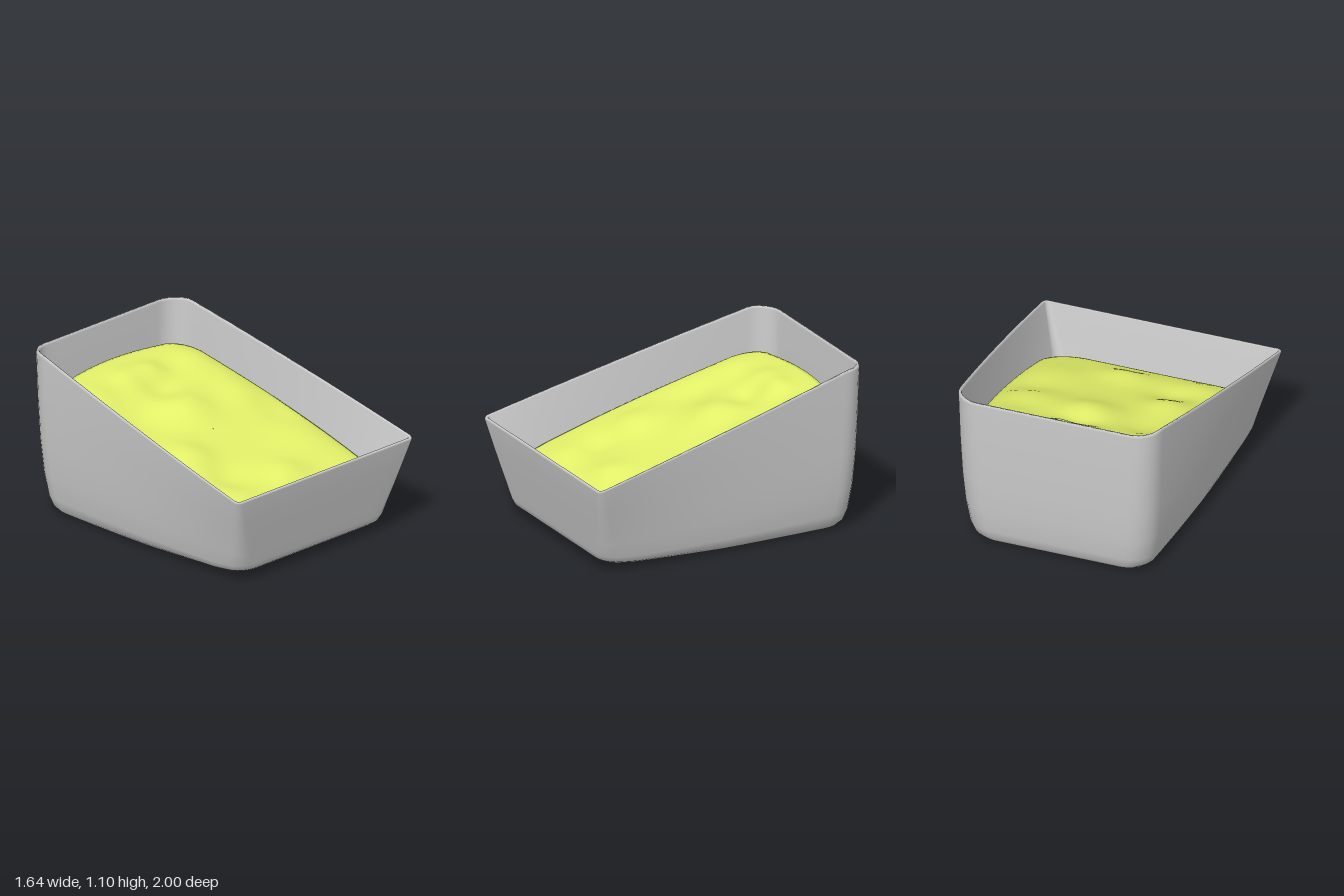
import * as THREE from 'three';

const lerp = THREE.MathUtils.lerp;

// Tapered rounded rectangle in the xz plane: half widths xf (front) / xb (back),
// ends zf / zb, corner radii rf / rb, side and back bulge.
function outline({ xf, xb, zf, zb, rf, rb, bow = 0, bowBack = 0 }, arc = 6, side = 12) {
  const corners = [[1, 1], [-1, 1], [-1, -1], [1, -1]].map(([sx, sz], k) => {
    const r = sz > 0 ? rf : rb;
    const cx = sx * ((sz > 0 ? xf : xb) - r), cz = sz > 0 ? zf - r : zb + r;
    return Array.from({ length: arc + 1 }, (_, i) => {
      const a = (k + i / arc) * Math.PI / 2;
      return [cx + r * Math.cos(a), cz + r * Math.sin(a)];
    });
  });
  const pts = [];
  corners.forEach((c, k) => {
    pts.push(...c);
    const a = c[arc], b = corners[(k + 1) % 4][0];
    for (let i = 1; i < side; i++) {
      const s = i / side, bulge = 4 * s * (1 - s);
      const dx = k === 1 ? -bow : k === 3 ? bow : 0;
      const dz = k === 2 ? -bowBack : 0;
      pts.push([lerp(a[0], b[0], s) + dx * bulge, lerp(a[1], b[1], s) + dz * bulge]);
    }
  });
  return pts;
}

// Skin a stack of equal-length loops of [x, y, z] points.
function loft(loops) {
  const n = loops[0].length, index = [];
  for (let i = 0; i < loops.length - 1; i++) {
    for (let j = 0; j < n; j++) {
      const a = i * n + j, b = i * n + (j + 1) % n;
      index.push(a, a + n, b, b, a + n, b + n);
    }
  }
  const g = new THREE.BufferGeometry();
  g.setAttribute('position', new THREE.Float32BufferAttribute(loops.flat(2), 3));
  g.setIndex(index);
  g.computeVertexNormals();
  return g;
}

// Tray: the rim slopes down to the front, the base lifts a little at the front
const rimY = z => z < -0.86 ? 1.1 : lerp(1.1, 0.61, (z + 0.86) / 1.86);
const baseY = z => z < 0 ? 0 : z < 0.66 ? 0.02 * z / 0.66 : 0.02 + (z - 0.66) * 0.12;

// Wall stations: height fraction, front/back half width, front/back end, front radius
const WALL = [
  [0, 0.58, 0.56, 0.83, -0.87, 0.1],
  [0.012, 0.63, 0.59, 0.865, -0.9, 0.11],
  [0.04, 0.665, 0.615, 0.888, -0.925, 0.11],
  [0.1, 0.685, 0.633, 0.9, -0.948, 0.1],
  [0.25, 0.707, 0.657, 0.917, -0.968, 0.085],
  [0.45, 0.739, 0.674, 0.942, -0.983, 0.07],
  [0.7, 0.778, 0.686, 0.97, -0.993, 0.055],
  [0.985, 0.82, 0.695, 1, -1, 0.04],
];

function wallLoop([t, xf, xb, zf, zb, rf], inset = 0, height = t) {
  const pts = outline({
    xf: xf - inset, xb: xb - inset, zf: zf - inset, zb: zb + inset,
    rf: rf - inset * 0.5, rb: 0.165 - inset * 0.5, bow: 0.015,
  });
  return pts.map(([x, z]) => [x, lerp(baseY(z), rimY(z), height), z]);
}

function trayGeometry() {
  const top = WALL[WALL.length - 1], wall = 0.021;
  const under = [0.001, 0.35, 0.7, 0.95].map(s =>
    wallLoop(WALL[0]).map(([x, , z]) => [x * s, baseY(z * s), z * s]));
  const outer = WALL.map(w => wallLoop(w));
  const rim = [wallLoop(top, 0.005, 1), wallLoop(top, 0.016, 1)];
  const inner = WALL.slice(3).reverse().map(w => wallLoop(w, wall));
  const floorEdge = wallLoop(WALL[1], wall);
  const floor = [1, 0.5, 0.001].map(s =>
    floorEdge.map(([x, , z]) => [x * s, baseY(z * s) + 0.03, z * s]));
  return loft([...under, ...outer, ...rim, ...inner, ...floor]);
}

// Filling: mounds and hollows as x, z, height, radius
const MOUNDS = [
  [0.09, -0.64, 0.05, 0.11], [-0.1, -0.66, 0.045, 0.13], [-0.45, -0.6, 0.03, 0.16],
  [0.47, -0.64, 0.035, 0.16], [0.03, -0.24, 0.055, 0.19], [0.48, -0.2, 0.045, 0.2],
  [-0.36, 0.15, 0.045, 0.16], [0.1, 0.58, 0.045, 0.16], [-0.4, 0.62, 0.03, 0.18],
  [0.5, 0.35, 0.025, 0.22], [0.02, -0.48, -0.035, 0.13], [-0.36, -0.3, -0.03, 0.17],
  [0.57, 0, -0.03, 0.16], [-0.29, 0.42, -0.03, 0.14], [0.1, 0.75, -0.02, 0.1],
];

function fillY(x, z, r) {
  const bumps = MOUNDS.reduce((sum, [mx, mz, h, w]) =>
    sum + h * Math.exp(-((x - mx) ** 2 + (z - mz) ** 2) / (w * w)), 0);
  return 0.585 - 0.31 * z + 0.035 * (1 - r ** 12) + bumps * (1 - r ** 8);
}

function fillGeometry() {
  const edge = outline({
    xf: 0.715, xb: 0.63, zf: 0.86, zb: -0.875, rf: 0.24, rb: 0.23, bow: 0.03, bowBack: 0.035,
  });
  const ring = (s, y) => edge.map(([x, z]) => [x * s, y(x * s, z * s), z * s]);
  const loops = [
    ring(0.84, (x, z) => baseY(z) + 0.03),
    ring(0.93, (x, z) => lerp(baseY(z), fillY(x, z, 1), 0.4)),
    ring(0.985, (x, z) => fillY(x, z, 1) - 0.1),
    ring(1, (x, z) => fillY(x, z, 1) - 0.03),
  ];
  const steps = 32;
  for (let i = 0; i <= steps; i++) {
    const s = Math.max(0.992 * (1 - i / steps), 0.001);
    loops.push(ring(s, (x, z) => fillY(x, z, s)));
  }
  return loft(loops);
}

export function createModel() {
  const group = new THREE.Group();
  group.name = 'litterTray';
  const add = (name, geometry, color) => {
    const mesh = new THREE.Mesh(geometry, new THREE.MeshStandardMaterial({ color }));
    mesh.name = name;
    group.add(mesh);
  };
  add('tray', trayGeometry(), 0xcccccc);
  add('sandFilling', fillGeometry(), 0xe2f068);
  return group;
}
